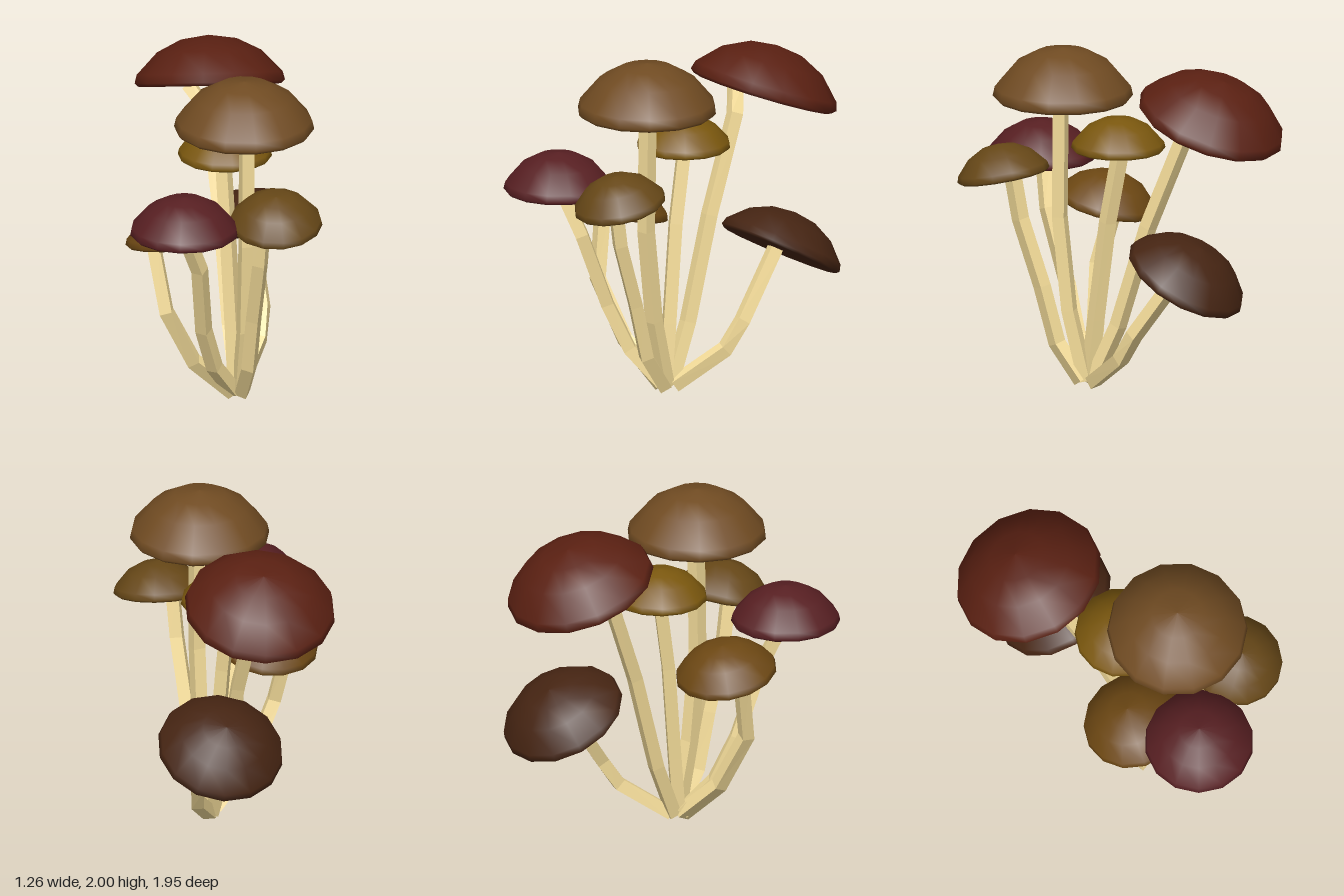
import * as THREE from 'three';

const stemMaterial = new THREE.MeshStandardMaterial({ color: 0xf5dd9a, flatShading: true });

// Cap profile for a radius of 1: flat underside, thin rim, rounded dome
const profile = [[0, 0], [0.95, 0], [1, 0.05], [0.97, 0.18], [0.69, 0.51], [0.37, 0.69], [0, 0.75]];

function makeCap({ color, radius, height = 1, at, tilt = 0, roll = 0, spin = 0 }) {
  const points = profile.map(([r, y]) => new THREE.Vector2(r * radius, y * radius * height));
  const geometry = new THREE.LatheGeometry(points, 14, spin);
  const cap = new THREE.Mesh(geometry, new THREE.MeshStandardMaterial({ color }));
  cap.name = 'cap';
  cap.position.set(...at);
  cap.rotation.set(THREE.MathUtils.degToRad(tilt), 0, THREE.MathUtils.degToRad(roll));
  return cap;
}

// Four-sided stem: each ring of a cylinder is moved to a point of the path
function makeStem(path, spin, radius = 0.051) {
  const points = path.map((p) => new THREE.Vector3(...p));
  const n = points.length - 1;
  const up = new THREE.Vector3(0, 1, 0);
  const turns = points.map((p, i) => {
    const dir = points[Math.min(i + 1, n)].clone().sub(points[Math.max(i - 1, 0)]).normalize();
    return new THREE.Quaternion().setFromUnitVectors(up, dir);
  });
  const geometry = new THREE.CylinderGeometry(radius, radius, 1, 4, n, false, spin);
  const pos = geometry.attributes.position;
  const v = new THREE.Vector3();
  for (let k = 0; k < pos.count; k++) {
    v.fromBufferAttribute(pos, k);
    const i = Math.round((v.y + 0.5) * n);
    v.y = 0;
    v.applyQuaternion(turns[i]).add(points[i]);
    pos.setXYZ(k, v.x, v.y, v.z);
  }
  geometry.computeVertexNormals();
  const stem = new THREE.Mesh(geometry, stemMaterial);
  stem.name = 'stem';
  return stem;
}

function makeMushroom(name, cap, stemSpin, stemPath) {
  const mushroom = new THREE.Group();
  mushroom.name = name;
  mushroom.add(makeStem(stemPath, stemSpin), makeCap(cap));
  return mushroom;
}

export function createModel() {
  const model = new THREE.Group();
  model.name = 'mushroomCluster';

  // Tall mushrooms
  model.add(makeMushroom('tallTanMushroom',
    { color: 0x704b22, radius: 0.403, at: [0.08, 1.7, 0.345] },
    0.9, [[0.08, 0.04, 0.2], [0.09, 0.45, 0.3], [0.09, 1, 0.36], [0.095, 1.74, 0.35]]));
  model.add(makeMushroom('tallRedMushroom',
    { color: 0x5a2012, radius: 0.436, height: 0.88, at: [0.04, 1.635, -0.565], tilt: -20.5, roll: -2, spin: 0.2 },
    0.5, [[0.07, 0.04, 0.16], [0.05, 0.38, 0.01], [0.03, 0.98, -0.17], [0, 1.54, -0.39], [-0.1, 1.68, -0.48]]));
  model.add(makeMushroom('yellowMushroom',
    { color: 0x7a570e, radius: 0.271, height: 0.94, at: [0.025, 1.42, 0.02] },
    0.2, [[0.06, 0.04, 0.19], [0.05, 0.4, 0.15], [0.03, 0.98, 0.085], [0.015, 1.46, 0]]));

  // Front mushrooms
  model.add(makeMushroom('purpleMushroom',
    { color: 0x571f22, radius: 0.314, height: 0.98, at: [-0.325, 1.21, 0.668], spin: 0.2 },
    0.1, [[0.04, 0.05, 0.2], [-0.09, 0.25, 0.33], [-0.17, 0.52, 0.43], [-0.22, 0.95, 0.58], [-0.33, 1.24, 0.66]]));
  model.add(makeMushroom('oliveMushroom',
    { color: 0x664717, radius: 0.268, height: 0.97, at: [0.21, 1.23, 0.657], tilt: 12.5, roll: 2 },
    0.3, [[0.09, 0.04, 0.22], [0.105, 0.25, 0.37], [0.115, 0.58, 0.46], [0.13, 0.97, 0.59], [0.14, 1.26, 0.64]]));

  // Low mushrooms leaning outward
  model.add(makeMushroom('lowBrownMushroom',
    { color: 0x6c4713, radius: 0.294, height: 0.9, at: [-0.295, 0.99, 0.245], tilt: -12.5, roll: 2 },
    0.5, [[0.04, 0.04, 0.2], [-0.2, 0.27, 0.27], [-0.37, 0.61, 0.33], [-0.43, 1, 0.24]]));
  model.add(makeMushroom('darkBackMushroom',
    { color: 0x452412, radius: 0.366, height: 0.86, at: [0.26, 0.755, -0.505], tilt: -30, spin: 0.2 },
    0.4, [[0.09, 0.04, 0.15], [0.25, 0.24, -0.1], [0.285, 0.4, -0.2], [0.265, 0.78, -0.47]]));
  return model;
}
